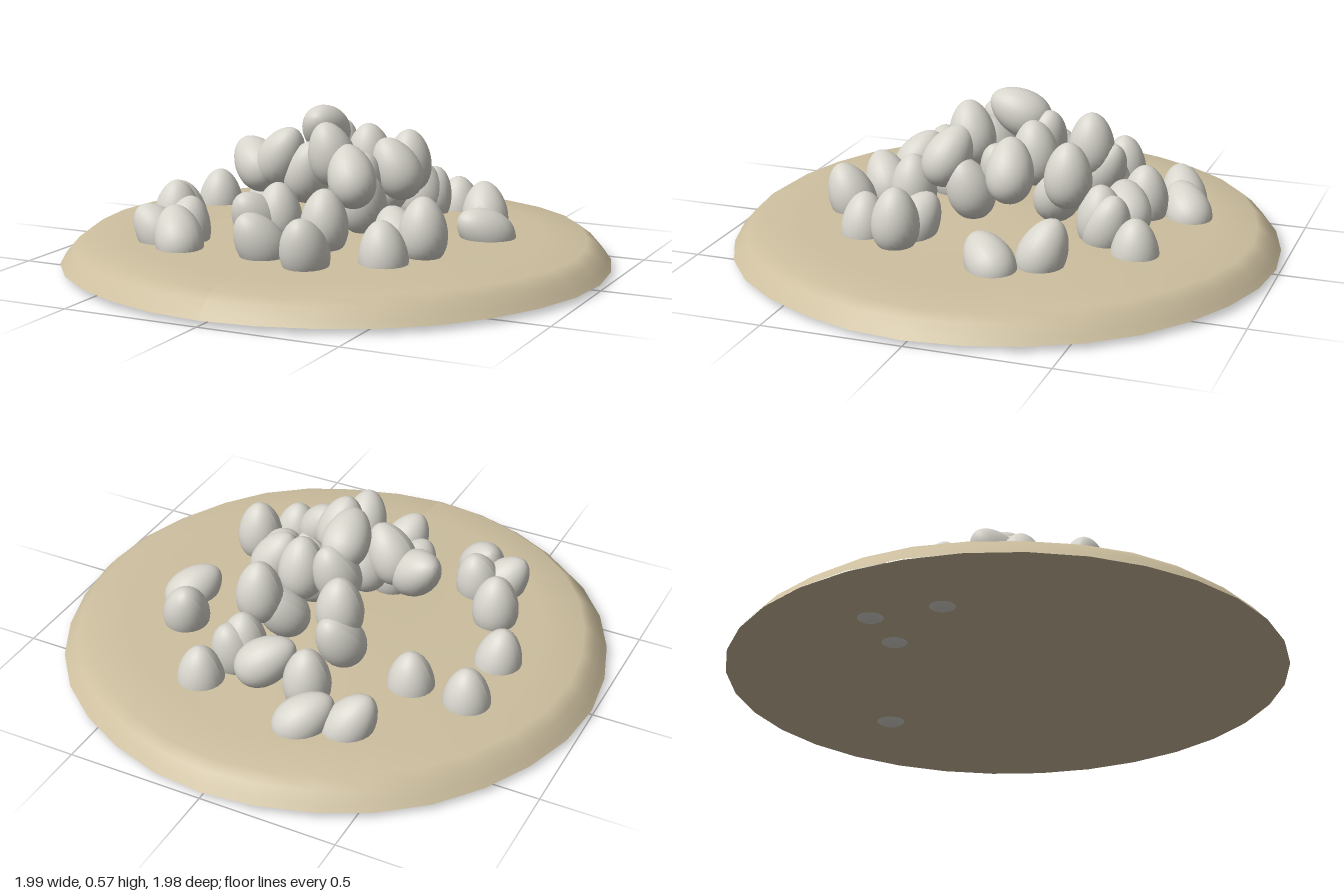
import * as THREE from 'three';

const sand = new THREE.MeshStandardMaterial({ color: 0xcdbf9f });
sand.name = 'sand';
const shell = new THREE.MeshStandardMaterial({ color: 0xd6d4cb });
shell.name = 'egg shell';

// Each egg: x, y, z of its centre, then the x and z lean of its pointed end
const outerEggs = [
  [-0.63, 0.13, -0.26, 0, 0], [-0.42, 0.13, -0.26, 0, 0],
  [-0.64, 0.13, 0, -0.12, 0.1], [-0.53, 0.18, 0.23, 0, 0],
  [0.25, 0.125, -0.55, 0, 0], [0.46, 0.17, -0.29, -0.2, -0.35],
  [0.53, 0.14, -0.12, -0.55, 0.65], [0.45, 0.21, 0.25, 0, 0],
  [0.37, 0.15, 0.40, -0.1, 0], [0.34, 0.17, 0.22, -0.45, -0.4],
  [0.15, 0.175, 0.55, 0, 0.4], [-0.05, 0.17, 0.49, -0.35, 0.45],
  [-0.37, 0.16, 0.49, -0.45, -0.45], [-0.48, 0.15, 0.43, -0.6, 0.2],
  [-0.40, 0.16, 0.38, 0.1, -0.2], [-0.34, 0.14, -0.57, -0.5, 0.3],
  [-0.19, 0.14, -0.62, -0.65, 0.5],
];
const middleEggs = [
  [-0.13, 0.19, -0.48, 0, 0], [0.04, 0.20, -0.46, -0.75, 0.35],
  [0.16, 0.20, -0.40, 0, 0], [0.18, 0.18, -0.43, 0.15, -0.3],
  [0.11, 0.22, 0.32, 0, 0], [-0.17, 0.20, 0.29, -0.25, 0.6],
  [-0.11, 0.21, 0.24, 0, 0], [-0.17, 0.26, -0.31, 0.2, -0.5],
  [0.10, 0.25, -0.23, 0.4, -0.5], [0.15, 0.25, 0.09, 0.2, 0.3],
];
const pileEggs = [
  [-0.15, 0.36, -0.27, 0, 0], [0.16, 0.34, -0.28, 0, 0],
  [-0.29, 0.355, 0.06, -0.7, -0.4], [-0.18, 0.39, 0.08, 0.5, 0.1],
  [-0.06, 0.485, -0.03, 0.1, 0.88], [0.04, 0.42, 0.12, -0.2, 0.2],
  [0.14, 0.36, 0.17, -0.4, -0.4], [0.20, 0.35, -0.08, -0.45, 0.1],
  [0.07, 0.38, -0.13, 0, 0.1], [-0.06, 0.39, -0.12, 0.2, -0.3],
  [-0.08, 0.34, 0.07, 0.3, 0.2], [0.09, 0.30, -0.02, 0.3, 0.3],
];

// Sphere stretched upward and narrowed toward its top
function eggGeometry() {
  const geometry = new THREE.SphereGeometry(1, 24, 18);
  const p = geometry.attributes.position;
  for (let i = 0; i < p.count; i++) {
    const y = p.getY(i);
    const r = 0.084 * (1 - 0.15 * y);
    p.setXYZ(i, p.getX(i) * r, y * 0.119, p.getZ(i) * r);
  }
  geometry.computeVertexNormals();
  return geometry;
}

// Low sandy mound with a bevelled, slightly uneven rim
function makeMound() {
  const profile = [
    [0.992, 0.025], [0.975, 0.045], [0.945, 0.08], [0.905, 0.108],
    [0.75, 0.119], [0.5, 0.125], [0.25, 0.14], [0, 0.147],
  ].map(([r, y]) => new THREE.Vector2(r, y));
  const geometry = new THREE.LatheGeometry(profile, 32);
  const p = geometry.attributes.position;
  for (let i = 0; i < p.count; i++) {
    const x = p.getX(i), y = p.getY(i), z = p.getZ(i);
    const a = Math.atan2(z, x);
    const s = 1 + 0.006 * Math.sin(5 * a + 1) * Math.cos(3 * a);
    const wave = y > 0.1 ? 0.005 * Math.sin(5 * x + 1) * Math.cos(4 * z) : 0;
    p.setXYZ(i, x * s, y + wave, z * s);
  }
  geometry.computeVertexNormals();
  const top = new THREE.Mesh(geometry, sand);
  top.name = 'moundTop';

  const bottom = new THREE.Mesh(new THREE.CircleGeometry(0.992, 32), sand);
  bottom.name = 'moundUnderside';
  bottom.rotation.x = Math.PI / 2;
  bottom.position.y = 0.025;

  const mound = new THREE.Group();
  mound.name = 'mound';
  mound.add(top, bottom);
  return mound;
}

export function createModel() {
  const model = new THREE.Group();
  model.name = 'eggClutch';
  model.add(makeMound());

  const geometry = eggGeometry();
  const up = new THREE.Vector3(0, 1, 0);
  const layers = { outerEggs, middleEggs, pileEggs };
  for (const [name, eggs] of Object.entries(layers)) {
    const group = new THREE.Group();
    group.name = name;
    for (const [x, y, z, leanX, leanZ] of eggs) {
      const egg = new THREE.Mesh(geometry, shell);
      egg.name = 'egg';
      egg.position.set(x, y, z);
      const rise = Math.sqrt(Math.max(0, 1 - leanX * leanX - leanZ * leanZ));
      const axis = new THREE.Vector3(leanX, rise, leanZ).normalize();
      egg.quaternion.setFromUnitVectors(up, axis);
      group.add(egg);
    }
    model.add(group);
  }
  return model;
}
